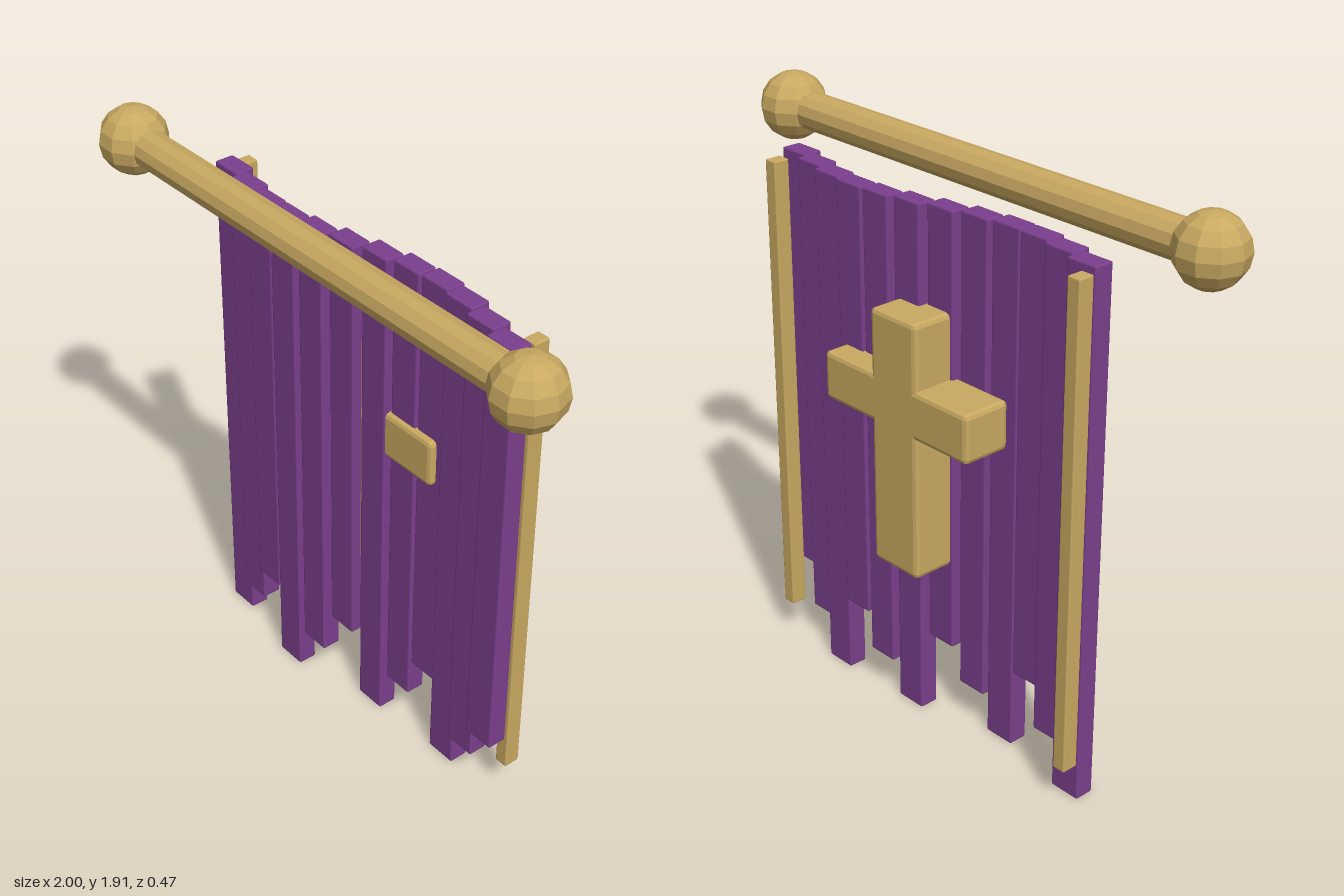
import * as THREE from 'three';
import { RoundedBoxGeometry } from 'three/addons/geometries/RoundedBoxGeometry.js';

export function createModel() {
  const model = new THREE.Group();
  model.name = 'banner';
  const gold = new THREE.MeshStandardMaterial({ color: 0xc9a961, flatShading: true });
  gold.name = 'gold';
  const purple = new THREE.MeshStandardMaterial({ color: 0x7b3f8c, flatShading: true });
  purple.name = 'purple cloth';

  const add = (name, geometry, material, x, y, z) => {
    const mesh = new THREE.Mesh(geometry, material);
    mesh.name = name;
    mesh.position.set(x, y, z);
    model.add(mesh);
    return mesh;
  };
  // Box with chamfered edges
  const block = (w, h, d, bevel) => new RoundedBoxGeometry(w, h, d, 1, bevel);

  // Hanging rod with a faceted ball at each end
  const rod = add('rod', new THREE.CylinderGeometry(0.0625, 0.0625, 1.76, 12), gold, 0, 1.797, 0.125);
  rod.rotation.z = Math.PI / 2;
  for (const side of [-1, 1]) {
    add(side > 0 ? 'leftFinial' : 'rightFinial',
      new THREE.SphereGeometry(0.1125, 10, 8), gold, side * 0.8875, 1.797, 0.125);
  }

  // Cloth strips following a wave, with three repeating hem heights
  const top = 1.75;
  for (let i = 0; i < 12; i++) {
    const bottom = (i % 3) * 0.138;
    add('clothStrip' + (i + 1), block(0.109, top - bottom, 0.066, 0.005), purple,
      -0.632 + i * 0.1145, (top + bottom) / 2, -0.07 + 0.052 * Math.sin(i * 0.6));
  }

  // Upright trims on the back
  add('leftTrim', block(0.046, 1.6, 0.056, 0.004), gold, 0.648, 0.93, -0.137);
  add('rightTrim', block(0.046, 1.6, 0.056, 0.004), gold, -0.663, 0.93, -0.137);

  // Raised cross on the back
  add('crossUpright', block(0.2, 0.855, 0.17, 0.015), gold, -0.003, 1.003, -0.15);
  add('crossArms', block(0.64, 0.16, 0.17, 0.015), gold, -0.003, 1.137, -0.15);

  return model;
}
